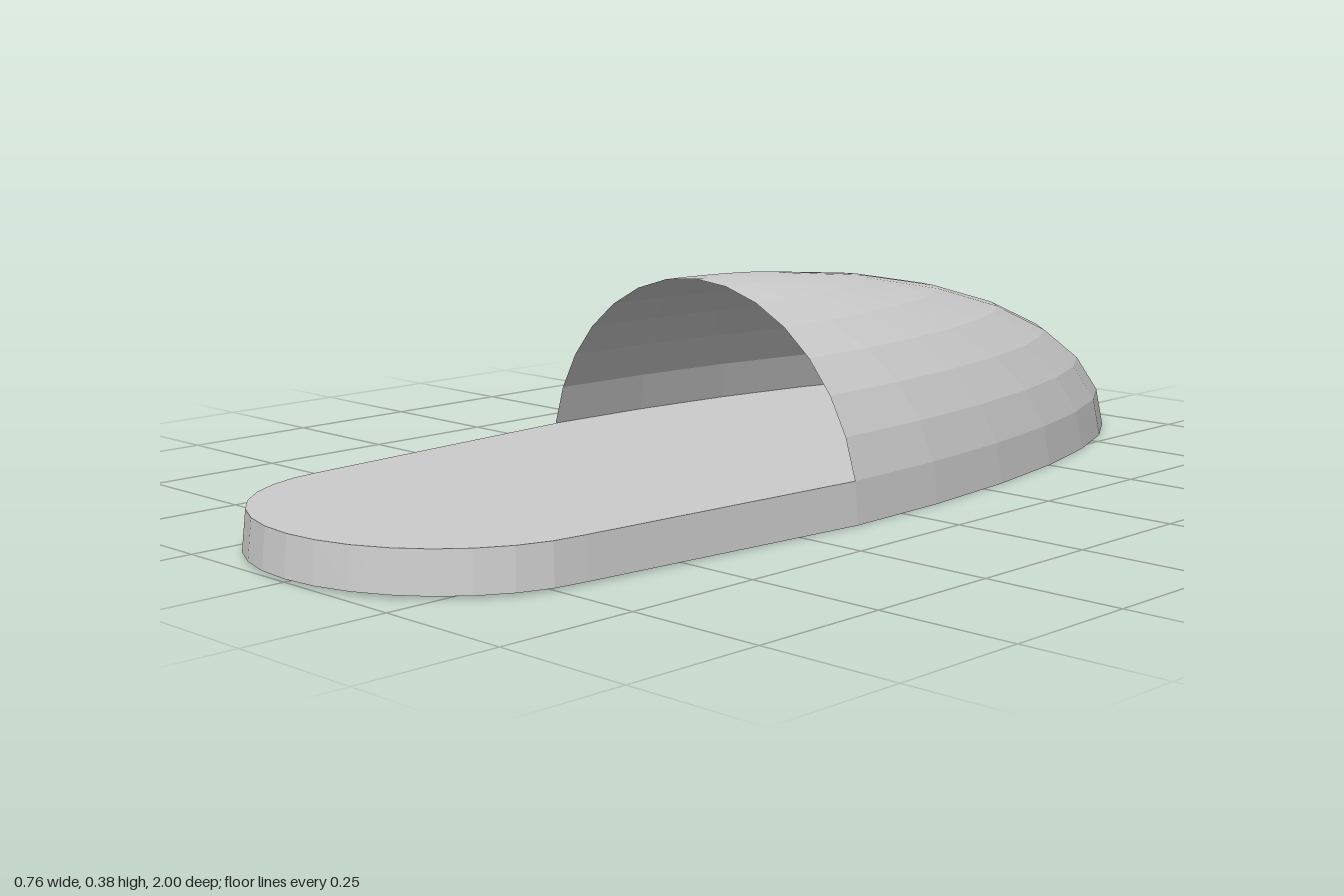
import * as THREE from 'three';

const R = 0.381;          // half width and height of the toe cover
const OPEN_Z = 0.12;      // where the foot opening sits
const BACK = 1.12;        // length of the toe cover
const STEP = Math.PI / 16;
const THICK = R * Math.sin(STEP);

function createSole(material) {
  // Outline seen from above: half ellipse under the cover, rounded end in front
  const points = [];
  for (let i = 0; i <= 16; i++) {
    const a = i * STEP;
    points.push(new THREE.Vector2(R * Math.cos(a), -OPEN_Z + BACK * Math.sin(a)));
  }
  for (let i = 0; i <= 16; i++) {
    const a = Math.PI + i * STEP;
    points.push(new THREE.Vector2(0.338 * Math.cos(a), -0.69 + 0.31 * Math.sin(a)));
  }
  const geometry = new THREE.ExtrudeGeometry(new THREE.Shape(points), {
    depth: THICK, bevelEnabled: false,
  });
  geometry.rotateX(-Math.PI / 2);

  // Taper the side walls inward towards the top; lift the front underside a little
  const pos = geometry.attributes.position;
  const taper = Math.cos(STEP);
  for (let i = 0; i < pos.count; i++) {
    const dz = pos.getZ(i) - OPEN_Z;
    if (pos.getY(i) > THICK / 2) {
      pos.setX(i, pos.getX(i) * taper);
      pos.setZ(i, OPEN_Z + dz * (dz < 0 ? taper : 0.992));
    } else if (dz > 0) {
      pos.setY(i, 0.005 * dz / 0.88);
    }
  }
  geometry.computeVertexNormals();
  const sole = new THREE.Mesh(geometry, material);
  sole.name = 'sole';
  return sole;
}

function createToeCover(material) {
  // Quarter ellipsoid shell, open to the front, standing on the sole's top edge
  const geometry = new THREE.SphereGeometry(
    R, 16, 7, Math.PI, Math.PI, 0, Math.PI / 2 - STEP);
  geometry.scale(1, 1, BACK / R);
  geometry.translate(0, 0, OPEN_Z);
  const cover = new THREE.Mesh(geometry, material);
  cover.name = 'toeCover';
  return cover;
}

export function createModel() {
  const group = new THREE.Group();
  group.name = 'slipper';
  const material = new THREE.MeshStandardMaterial({
    color: 0xcccccc, flatShading: true, side: THREE.DoubleSide,
  });
  group.add(createSole(material), createToeCover(material));
  return group;
}
